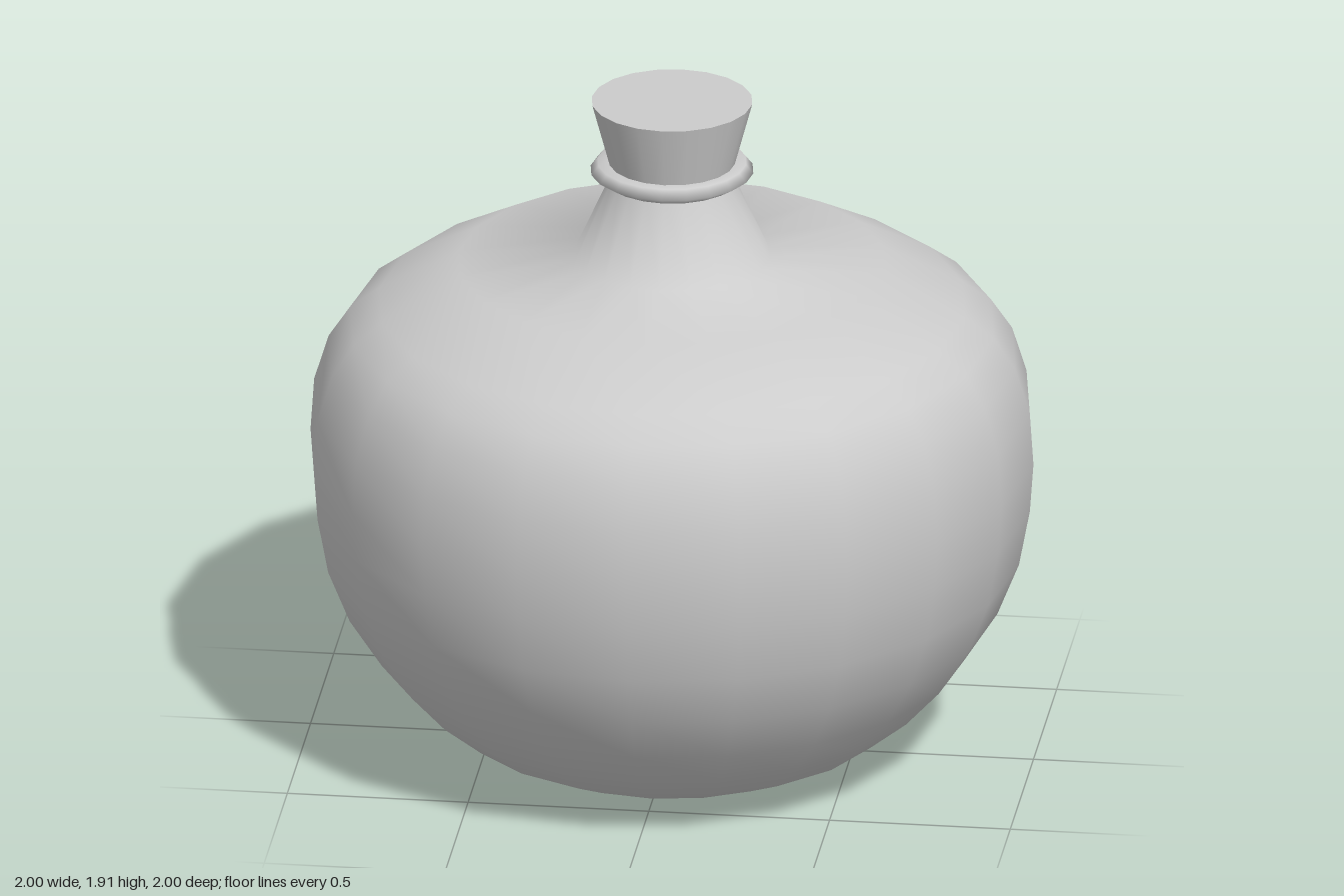
import * as THREE from 'three';

const SIDES = 20;

export function createModel() {
  const group = new THREE.Group();
  const material = new THREE.MeshStandardMaterial({ color: 0xcccccc, side: THREE.DoubleSide });

  const add = (name, geometry) => {
    const mesh = new THREE.Mesh(geometry, material);
    mesh.name = name;
    group.add(mesh);
    return mesh;
  };
  const lathe = (profile) =>
    new THREE.LatheGeometry(profile.map(([r, y]) => new THREE.Vector2(r, y)), SIDES);

  // Flask: raised hollow under the base, round belly, flat shoulder, tapering neck
  add('flaskBody', lathe([
    [0, 0.24], [0.1, 0.2], [0.18, 0.1], [0.24, 0.03], [0.31, 0.003],
    [0.45, 0.02], [0.6, 0.09], [0.71, 0.18], [0.81, 0.29], [0.9, 0.43],
    [0.96, 0.58], [0.99, 0.74], [1, 0.88], [0.99, 1.03], [0.95, 1.16],
    [0.89, 1.25], [0.81, 1.31], [0.59, 1.43], [0.27, 1.455], [0.165, 1.69],
  ]));

  // Lip around the mouth
  add('neckRing', lathe([
    [0.155, 1.68], [0.185, 1.68], [0.225, 1.705], [0.205, 1.73], [0.165, 1.73],
  ]));

  // Tapered stopper, seated in the neck
  add('stopper', new THREE.CylinderGeometry(0.222, 0.147, 0.28, SIDES)).position.y = 1.77;

  return group;
}
